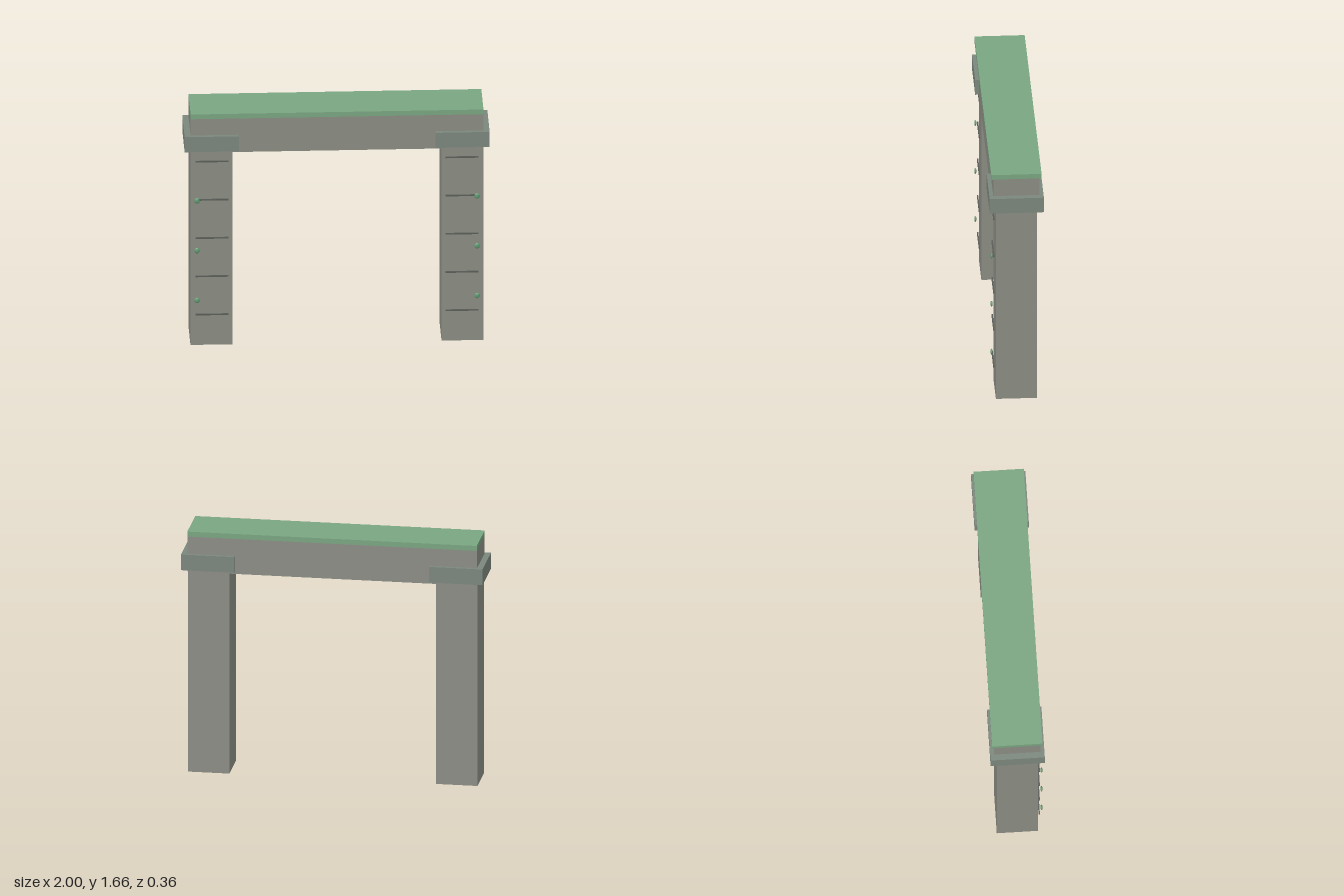
import * as THREE from 'three';

const mat = (color) => new THREE.MeshStandardMaterial({ color });

export function createModel() {
  const group = new THREE.Group();
  const stone = mat(0x8b8d84);
  const trim = mat(0x7b877d);
  const moss = mat(0x7aa581);
  const dark = mat(0x5a5d57);
  const leafMat = mat(0x5f9a72);

  const add = (parent, name, geometry, material, x, y, z) => {
    const mesh = new THREE.Mesh(geometry, material);
    mesh.name = name;
    mesh.position.set(x, y, z);
    parent.add(mesh);
    return mesh;
  };
  const box = (w, h, d) => new THREE.BoxGeometry(w, h, d);

  // Crossbeam with its mossy top slab
  add(group, 'lintel', box(1.92, 0.247, 0.304), stone, 0, 1.5085, 0);
  add(group, 'mossSlab', box(1.92, 0.034, 0.33), moss, 0, 1.648, 0);

  // Mirrored legs with capitals, joint lines and leaf buds
  const seam = box(0.215, 0.009, 0.009);
  const bud = new THREE.SphereGeometry(1, 12, 8).scale(0.018, 0.02, 0.007);
  for (const [side, s] of [['right', -1], ['left', 1]]) {
    const leg = new THREE.Group();
    leg.name = side + 'Leg';
    group.add(leg);
    add(leg, 'pillar', box(0.274, 1.388, 0.27), stone, s * 0.823, 0.694, 0);
    add(leg, 'capital', box(0.355, 0.108, 0.356), trim, s * 0.8225, 1.455, 0);
    for (let i = 0; i < 5; i++) {
      add(leg, 'jointLine', seam, dark, s * 0.82, 0.222 + i * 0.274, 0.146);
    }
    for (let i = 0; i < 3; i++) {
      add(leg, 'leafBud', bud, leafMat, s * 0.918, 0.33 + i * 0.357, 0.161);
    }
  }
  return group;
}
